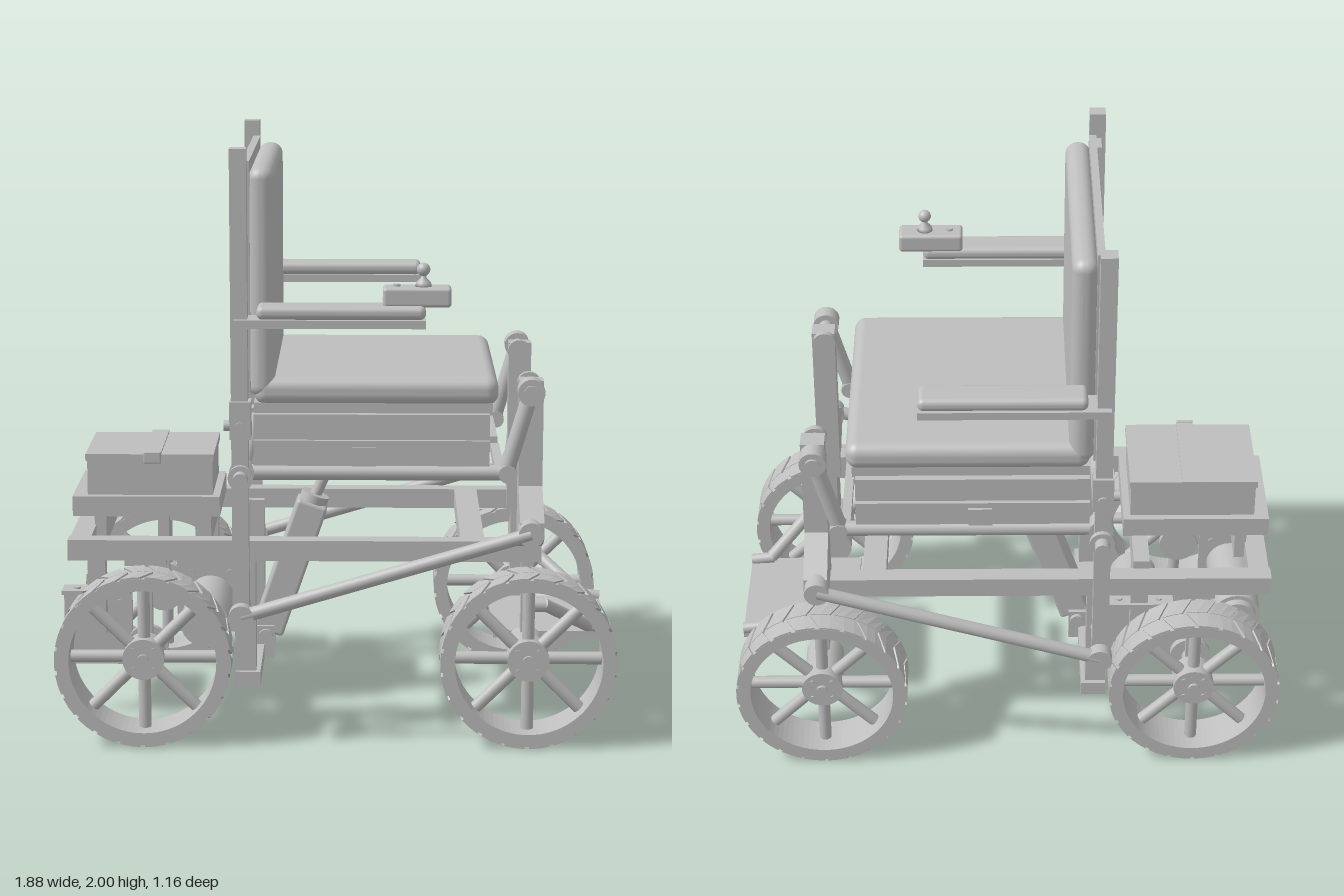
import * as THREE from 'three';
import { mergeGeometries } from 'three/addons/utils/BufferGeometryUtils.js';
import { RoundedBoxGeometry } from 'three/addons/geometries/RoundedBoxGeometry.js';

export function createModel() {
  const model = new THREE.Group();
  model.name = 'poweredChair';
  const grey = new THREE.MeshStandardMaterial({ color: 0xbebebe });
  grey.name = 'plain grey';
  const V = (x, y, z) => new THREE.Vector3(x, y, z);

  function add(name, geo, parent = model) {
    const m = new THREE.Mesh(geo, grey);
    m.name = name;
    parent.add(m);
    return m;
  }
  // box from its extents, with optional rounded edges
  function box(name, x0, x1, y0, y1, z0, z1, r = 0) {
    const s = [x1 - x0, y1 - y0, Math.abs(z1 - z0)];
    const g = r ? new RoundedBoxGeometry(...s, 4, r) : new THREE.BoxGeometry(...s);
    g.translate((x0 + x1) / 2, (y0 + y1) / 2, (z0 + z1) / 2);
    return add(name, g);
  }
  // the same box on both sides of the chair
  function boxes(name, x0, x1, y0, y1, z0, z1, r) {
    box(name + 'Left', x0, x1, y0, y1, z0, z1, r);
    box(name + 'Right', x0, x1, y0, y1, -z1, -z0, r);
  }
  // cylinder between two points
  function rod(name, a, b, r) {
    const d = b.clone().sub(a);
    const m = add(name, new THREE.CylinderGeometry(r, r, d.length(), 24));
    m.quaternion.setFromUnitVectors(V(0, 1, 0), d.normalize());
    m.position.copy(a).add(b).multiplyScalar(0.5);
    return m;
  }
  const pin = (name, x, y, z0, z1, r) => rod(name, V(x, y, z0), V(x, y, z1), r);

  // ---- wheels: a box bent round the tyre makes half a tread chevron ----
  function lug(angle, side) {
    const g = new THREE.BoxGeometry(0.068, 0.012, 0.074, 2, 1, 1).toNonIndexed();
    const p = g.attributes.position;
    for (let i = 0; i < p.count; i++) {
      const z = p.getZ(i) + side * 0.0385;
      const a = angle + (p.getX(i) - 0.5 * Math.abs(z)) / 0.29;
      const r = 0.289 + p.getY(i);
      p.setXYZ(i, r * Math.sin(a), r * Math.cos(a), z);
    }
    g.computeVertexNormals();
    return g;
  }
  const lugs = [];
  for (let i = 0; i < 22; i++) for (const s of [1, -1]) lugs.push(lug(i / 22 * Math.PI * 2, s));
  const treadGeo = mergeGeometries(lugs);
  const tyreShape = new THREE.Shape().absarc(0, 0, 0.288, 0, Math.PI * 2);
  tyreShape.holes.push(new THREE.Path().absarc(0, 0, 0.246, 0, Math.PI * 2));
  const tyreGeo = new THREE.ExtrudeGeometry(tyreShape, { depth: 0.152, bevelEnabled: false, curveSegments: 40 })
    .translate(0, 0, -0.076);
  function wheel(name, x, s) {
    const w = new THREE.Group();
    w.name = name;
    w.position.set(x, 0.295, s * 0.483);
    add('tyre', tyreGeo, w);
    add('tread', treadGeo, w);
    add('hub', new THREE.CylinderGeometry(0.07, 0.07, 0.09, 32).rotateX(Math.PI / 2), w);
    add('hubCap', new THREE.CylinderGeometry(0.02, 0.02, 0.11, 16).rotateX(Math.PI / 2), w);
    for (let i = 0; i < 8; i++) {
      const a = i * Math.PI / 4;
      add('spoke', new THREE.CylinderGeometry(0.021, 0.021, 0.19, 14).translate(0, 0.155, 0).rotateZ(a), w);
      if (i % 2) add('hubBolt', new THREE.CylinderGeometry(0.008, 0.008, 0.1, 8).rotateX(Math.PI / 2)
        .translate(0.048 * Math.cos(a), 0.048 * Math.sin(a), 0), w);
    }
    model.add(w);
  }
  for (const s of [1, -1]) {
    const n = s > 0 ? 'Left' : 'Right';
    wheel('rearWheel' + n, -0.64, s);
    wheel('frontWheel' + n, 0.645, s);
    pin('frontHubMotor', 0.645, 0.29, s * 0.31, s * 0.43, 0.065);
    pin('rearAxle', -0.64, 0.29, s * 0.32, s * 0.45, 0.03);
    pin('rearFlange', -0.64, 0.29, s * 0.318, s * 0.343, 0.07);

    // ---- lift linkage ----
    pin('lowerRearPin', -0.31, 0.455, s * 0.38, s * 0.54, 0.025);
    pin('lowerRearPivot', -0.31, 0.455, s * 0.535, s * 0.58, 0.042);
    pin('lowerFrontPivot', 0.645, 0.74, s * 0.5, s * 0.575, 0.042);
    rod('lowerLink', V(-0.31, 0.455, s * 0.558), V(0.645, 0.74, s * 0.558), 0.023);
    pin('upperRearPivot', -0.31, 0.92, s * 0.41, s * 0.47, 0.042);
    pin('upperRearCap', -0.31, 0.92, s * 0.522, s * 0.54, 0.042);
    rod('seatTube', V(-0.31, 0.92, s * 0.44), V(0.575, 0.92, s * 0.44), 0.026);
    rod('seatTubeRise', V(0.565, 0.92, s * 0.44), V(0.645, 1.195, s * 0.44), 0.027);
    pin('seatTubeElbow', 0.57, 0.92, s * 0.41, s * 0.47, 0.03);
    pin('upperFrontPivot', 0.645, 1.195, s * 0.41, s * 0.47, 0.045);
    pin('upperFrontPin', 0.645, 1.195, s * 0.29, s * 0.48, 0.025);
    pin('upperFrontNut', 0.645, 1.195, s * 0.29, s * 0.312, 0.04);

    // gusset that widens the front post to the lower link
    const g = new THREE.Shape([[0.38, 0.865], [0.53, 0.77], [0.53, 0.715], [0.48, 0.69], [0.38, 0.65]]
      .map(([z, y]) => new THREE.Vector2(z * s, y)));
    add('frontGusset', new THREE.ExtrudeGeometry(g, { depth: 0.08, bevelEnabled: false })
      .rotateY(-Math.PI / 2).translate(0.69, 0, 0));

    // footrest hangers
    rod('footHangerStub', V(0.645, 0.445, s * 0.365), V(0.71, 0.445, s * 0.365), 0.024);
    rod('footHangerTube', V(0.70, 0.45, s * 0.37), V(0.87, 0.325, s * 0.205), 0.022);
    rod('footHangerFoot', V(0.86, 0.325, s * 0.205), V(0.94, 0.315, s * 0.205), 0.02);

    // clamp knob on the back post
    pin('clampBolt', -0.31, 1.09, s * 0.46, s * 0.542, 0.018);
    rod('clampKnob', V(-0.365, 1.09, s * 0.5), V(-0.33, 1.09, s * 0.5), 0.018);
  }

  // ---- base frame ----
  boxes('sideRail', -0.9, 0.69, 0.605, 0.675, 0.343, 0.405);
  boxes('frontPost', 0.61, 0.69, 0.605, 1.22, 0.315, 0.385);
  boxes('frontWheelLeg', 0.625, 0.665, 0.25, 0.61, 0.325, 0.38);
  boxes('rearWheelLeg', -0.66, -0.62, 0.25, 0.61, 0.345, 0.385);
  boxes('rearLegFoot', -0.71, -0.57, 0.585, 0.605, 0.345, 0.4);
  boxes('midPost', -0.34, -0.27, 0.165, 0.64, 0.315, 0.385);
  box('lowerCrossbar', -0.34, -0.255, 0.165, 0.215, -0.4, 0.4);
  box('frontCrossbar', 0.42, 0.5, 0.605, 0.675, -0.345, 0.345);
  box('rearCrossbar', -0.895, -0.825, 0.605, 0.675, -0.405, 0.405);
  box('trayCrossbarRear', -0.83, -0.79, 0.61, 0.71, -0.195, 0.195);
  box('trayCrossbarFront', -0.485, -0.43, 0.61, 0.705, -0.345, 0.195);

  // ---- battery ----
  box('batteryTray', -0.905, -0.4, 0.705, 0.775, -0.195, 0.195);
  box('batteryBox', -0.855, -0.425, 0.775, 0.895, -0.17, 0.17);
  box('batteryLid', -0.86, -0.42, 0.895, 0.92, -0.18, 0.18);
  box('batteryStrap', -0.66, -0.6, 0.9, 0.927, -0.188, 0.188);
  box('strapBuckle', -0.66, -0.6, 0.89, 0.932, 0.183, 0.194, 0.005);

  // ---- drive motors, staggered so that they pass each other ----
  for (const [x, s] of [[-0.82, 1], [-0.46, -1]]) {
    box('motorPlate', x - 0.12, x + 0.115, 0.18, 0.46, s * 0.19, s * 0.205);
    box('motorShelf', x - 0.12, x + 0.115, 0.445, 0.46, s * 0.19, s * 0.27);
    box('motorHanger', x - 0.03, x + 0.03, 0.3, 0.61, s * 0.2, s * 0.26);
    pin('motorBody', x, 0.305, s * 0.2, s * -0.13, 0.085);
    pin('motorEnd', x, 0.305, s * -0.13, s * -0.16, 0.07);
    for (const dx of [-0.07, 0.07]) {
      rod('shelfScrew', V(x + dx, 0.46, s * 0.235), V(x + dx, 0.466, s * 0.235), 0.012);
      for (const y of [0.215, 0.4]) pin('plateScrew', x + dx, y, s * 0.185, s * 0.21, 0.012);
    }
  }

  // ---- lifting actuator ----
  const low = V(-0.245, 0.25, 0), mid = V(-0.085, 0.715, 0), top = V(0.07, 1.07, 0);
  const body = add('actuatorBody', new RoundedBoxGeometry(0.11, low.distanceTo(mid), 0.11, 2, 0.012));
  body.position.copy(low).add(mid).multiplyScalar(0.5);
  body.quaternion.setFromUnitVectors(V(0, 1, 0), mid.clone().sub(low).normalize());
  rod('actuatorCollar', mid, V(-0.075, 0.742, 0), 0.05);
  rod('actuatorRod', mid, top, 0.02);
  pin('actuatorTopPin', 0.07, 1.07, -0.08, 0.08, 0.03);
  pin('actuatorLowPin', -0.25, 0.245, -0.09, 0.09, 0.025);
  boxes('actuatorLug', -0.3, -0.22, 0.165, 0.28, 0.062, 0.076);
  box('actuatorCrossbar', 0.03, 0.11, 1.015, 1.045, -0.44, 0.44);
  boxes('actuatorTopLug', 0.04, 0.1, 1.04, 1.12, 0.03, 0.045);

  // ---- seat ----
  box('seatCushion', -0.27, 0.54, 1.14, 1.235, -0.43, 0.43, 0.04);
  box('seatBoard', -0.27, 0.52, 1.11, 1.15, -0.415, 0.415);
  boxes('seatSideUpper', -0.27, 0.51, 1.03, 1.115, 0.41, 0.44);
  boxes('seatSideLower', -0.27, 0.51, 0.945, 1.03, 0.425, 0.455);
  boxes('seatSideTab', 0.055, 0.135, 0.945, 1.01, 0.45, 0.464);
  boxes('frontCrossTube', 0.53, 0.56, 0.905, 0.935, 0.055, 0.43);
  pin('rearCrossTube', -0.31, 0.92, -0.58, 0.58, 0.025);

  // ---- back ----
  boxes('backPost', -0.34, -0.285, 0.42, 2, 0.468, 0.522);
  boxes('postClamp', -0.345, -0.275, 1.05, 1.175, 0.463, 0.535);
  box('backCushion', -0.285, -0.2, 1.165, 1.93, -0.43, 0.43, 0.04);
  box('backBoard', -0.305, -0.28, 1.17, 1.95, -0.415, 0.415);
  for (const y of [1.2, 1.86]) boxes('backTab', -0.325, -0.3, y, y + 0.05, 0.4, 0.47);

  // ---- armrests and joystick ----
  boxes('armrestPlate', -0.33, 0.295, 1.42, 1.447, 0.44, 0.545);
  boxes('armrestPad', -0.255, 0.295, 1.447, 1.492, 0.435, 0.545, 0.02);
  box('controlBox', 0.155, 0.378, 1.485, 1.55, 0.428, 0.518, 0.012);
  const stick = [[0, 0], [0.028, 0], [0.024, 0.015], [0.009, 0.03], [0.009, 0.045]].map(p => new THREE.Vector2(...p));
  add('joystickStem', new THREE.LatheGeometry(stick, 20)).position.set(0.287, 1.548, 0.475);
  add('joystickBall', new THREE.SphereGeometry(0.022, 20, 14)).position.set(0.287, 1.605, 0.475);
  rod('controlButton', V(0.2, 1.55, 0.475), V(0.2, 1.557, 0.475), 0.012);

  // ---- footrest ----
  box('footplate', 0.54, 0.94, 0.285, 0.31, -0.22, 0.22);
  return model;
}
